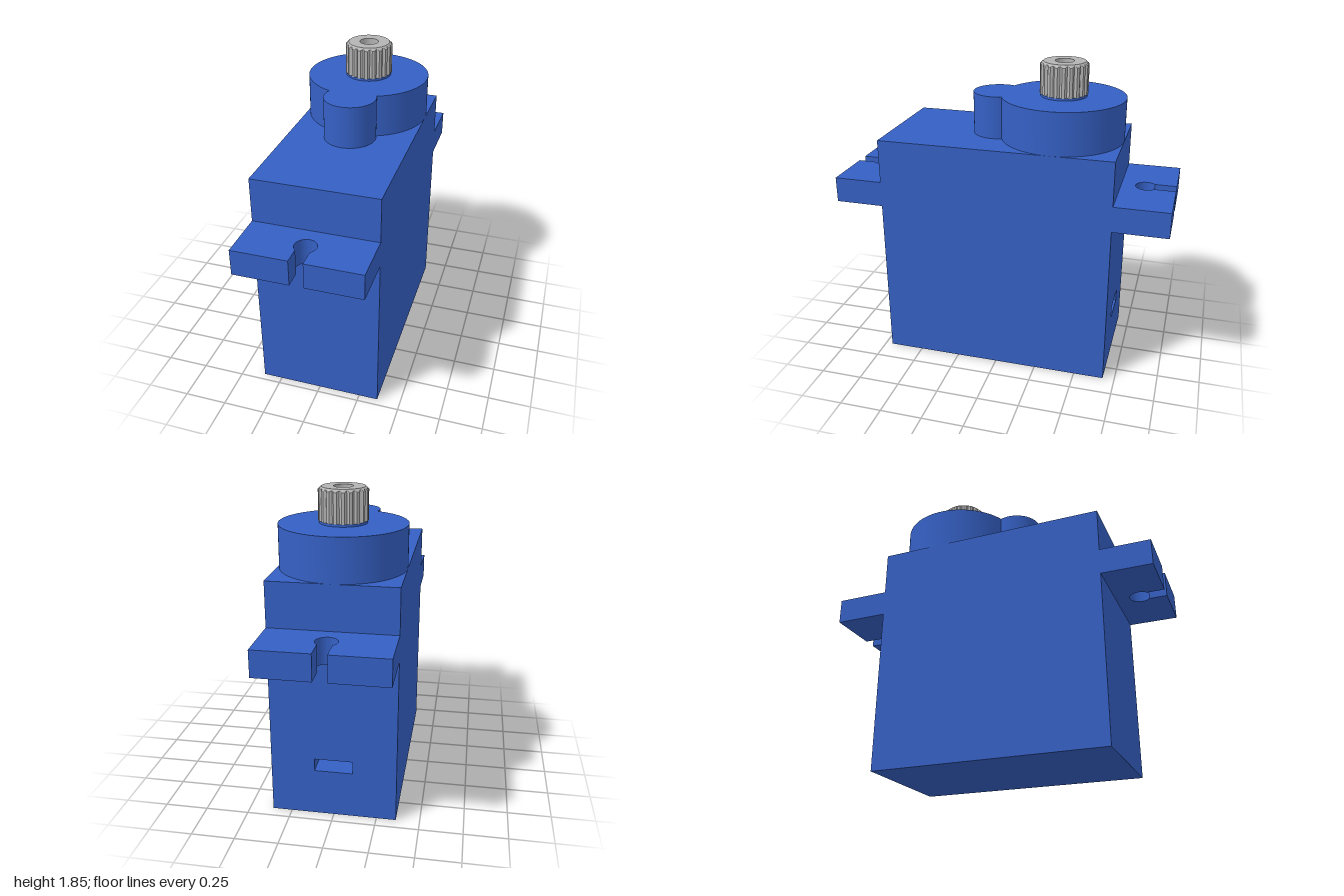
import * as THREE from 'three';
import { toCreasedNormals } from 'three/addons/utils/BufferGeometryUtils.js';

const blue = new THREE.MeshStandardMaterial({ color: 0x3560c4 });
const grey = new THREE.MeshStandardMaterial({ color: 0xb4b4b4 });

const HALF = 0.363;              // half width of the case
const FRONT = 0.707, BACK = -0.68;
const CASE_TOP = 1.4, CAP_TOP = 1.65;
const GEAR_Z = -0.317;

function part(name, geometry, material = blue) {
  const mesh = new THREE.Mesh(geometry, material);
  mesh.name = name;
  return mesh;
}

// Extrudes a plan shape drawn in (x, z) between two heights
function slab(shape, bottom, top) {
  const g = new THREE.ExtrudeGeometry(shape, { depth: top - bottom, bevelEnabled: false, curveSegments: 48 });
  g.rotateX(Math.PI / 2).translate(0, top, 0);
  return toCreasedNormals(g, 0.5);
}

function rectangle(Type, x0, y0, x1, y1) {
  return new Type([[x0, y0], [x1, y0], [x1, y1], [x0, y1]].map(p => new THREE.Vector2(...p)));
}

// Case: a solid front block and a rear block with the cable slot cut into it
function makeCase() {
  const group = new THREE.Group();
  group.name = 'case';
  const depth = 0.2;
  const length = FRONT - BACK - depth;
  const main = new THREE.BoxGeometry(HALF * 2, CASE_TOP, length);
  main.translate(0, CASE_TOP / 2, FRONT - length / 2);
  const wall = rectangle(THREE.Shape, -HALF, 0, HALF, CASE_TOP);
  wall.holes.push(rectangle(THREE.Path, -0.11, 0.28, 0.11, 0.355));
  const rear = new THREE.ExtrudeGeometry(wall, { depth, bevelEnabled: false });
  rear.translate(0, 0, BACK);
  group.add(part('caseBlock', main), part('caseRearWithCableSlot', rear));
  return group;
}

// Mounting tab reaching out to z = 1, with an open keyhole
function makeTab(name, start, holeZ) {
  const r = 0.062, slot = 0.04;
  const a = Math.acos(slot / r);
  const s = new THREE.Shape();
  s.moveTo(-HALF, start);
  s.lineTo(HALF, start);
  s.lineTo(HALF, 1);
  s.lineTo(slot, 1);
  s.lineTo(slot, holeZ + r * Math.sin(a));
  s.absarc(0, holeZ, r, a, -Math.PI - a, true);
  s.lineTo(-slot, 1);
  s.lineTo(-HALF, 1);
  s.closePath();
  return part(name, slab(s, 0.985, 1.138));
}

// Raised cap: a large disc merged with a small lobe towards the front
function makeGearCap() {
  const lobeZ = 0.071, jx = 0.142, jz = 0.017;
  const big = Math.atan2(jz - GEAR_Z, jx);
  const small = Math.atan2(jz - lobeZ, jx);
  const s = new THREE.Shape();
  s.absarc(0, GEAR_Z, HALF, Math.PI - big, Math.PI * 2 + big, false);
  s.absarc(0, lobeZ, 0.152, small, Math.PI - small, false);
  s.closePath();
  return part('gearCap', slab(s, CASE_TOP, CAP_TOP));
}

// Splined output shaft: a bored lathe with grooves pressed into its rim
function makeShaft() {
  const teeth = 20, outer = 0.14, bore = 0.055;
  const profile = [
    [bore, 1.664], [outer, 1.664], [outer, 1.834], [0.133, 1.84],
    [0.127, 1.845], [0.122, 1.85], [bore, 1.85], [bore, 1.664],
  ].map(p => new THREE.Vector2(...p));
  const g = new THREE.LatheGeometry(profile, teeth * 10);
  const pos = g.attributes.position;
  for (let i = 0; i < pos.count; i++) {
    const x = pos.getX(i), z = pos.getZ(i);
    const r = Math.hypot(x, z);
    const groove = 0.012 * Math.max(0, Math.cos(teeth * Math.atan2(x, z)));
    const k = Math.min(r, outer - groove) / r;
    pos.setX(i, x * k);
    pos.setZ(i, z * k);
  }
  return part('splinedShaft', toCreasedNormals(g, 0.5), grey);
}

export function createModel() {
  const model = new THREE.Group();
  model.name = 'servoMotor';

  const backTab = makeTab('backTab', -BACK, 0.825);
  backTab.rotation.y = Math.PI;

  // Thin collar under the shaft
  const collar = part('shaftCollar', new THREE.CylinderGeometry(0.135, 0.135, 0.024, 64));
  collar.position.set(0, CAP_TOP + 0.002, GEAR_Z);

  const shaft = makeShaft();
  shaft.position.z = GEAR_Z;

  model.add(makeCase(), makeTab('frontTab', FRONT, 0.85), backTab, makeGearCap(), collar, shaft);
  return model;
}
